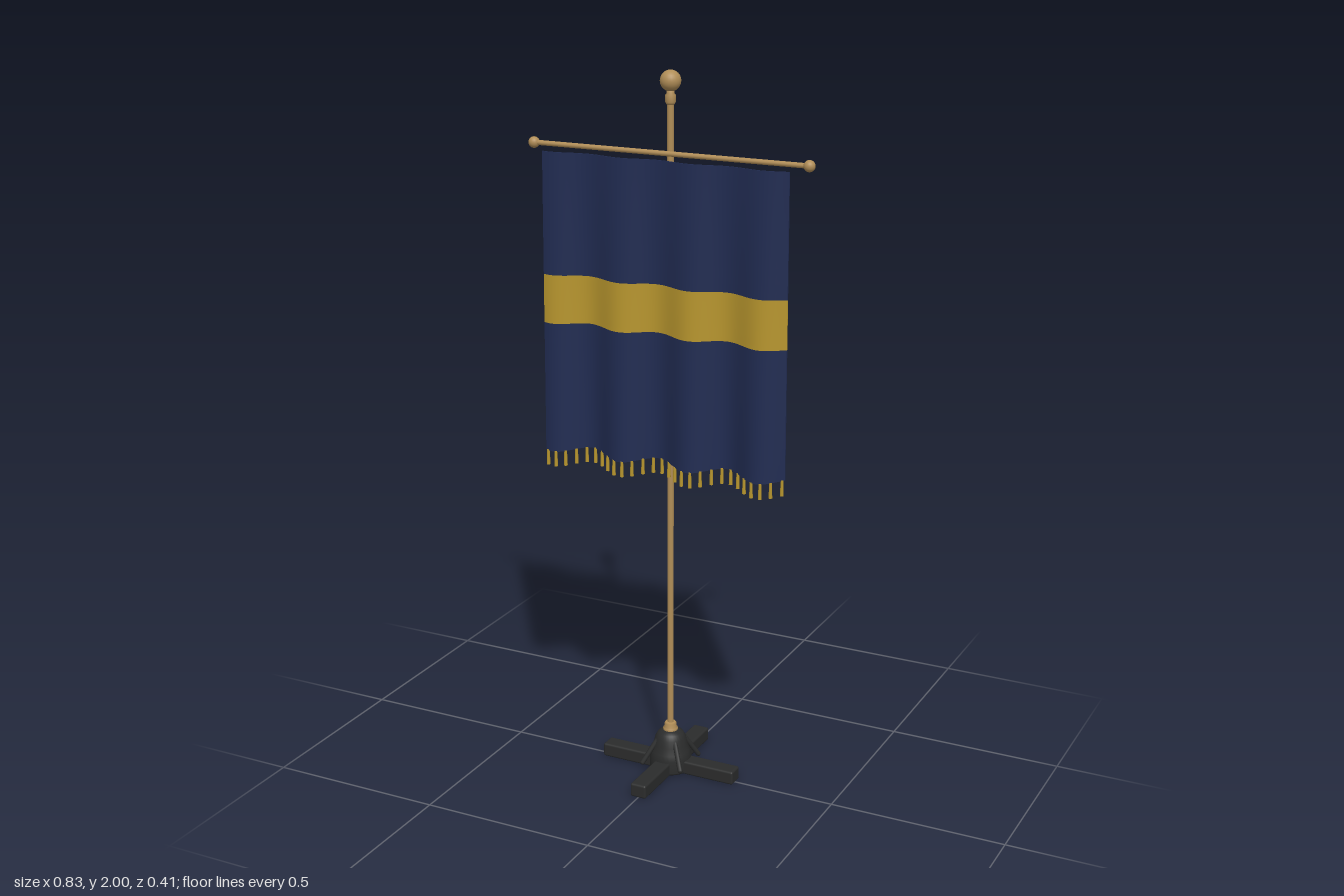
import * as THREE from 'three';
import { RoundedBoxGeometry } from 'three/addons/geometries/RoundedBoxGeometry.js';

const material = (name, color) => {
  const m = new THREE.MeshStandardMaterial({ color });
  m.name = name;
  return m;
};

export function createModel() {
  const brass = material('brass', 0xb08d57);
  const iron = material('black iron', 0x2b2c2c);
  const navy = material('navy cloth', 0x212c52);
  const gold = material('gold cloth', 0xb8962e);

  const model = new THREE.Group();
  model.name = 'bannerStand';

  const add = (name, geometry, mat, x = 0, y = 0, z = 0, parent = model) => {
    const mesh = new THREE.Mesh(geometry, mat);
    mesh.name = name;
    mesh.position.set(x, y, z);
    parent.add(mesh);
    return mesh;
  };
  const lathe = (points, segments = 32) =>
    new THREE.LatheGeometry(points.map(([r, y]) => new THREE.Vector2(r, y)), segments);

  // Base: hub, four feet and four diagonal ribs
  const base = new THREE.Group();
  base.name = 'base';
  model.add(base);
  add('hub', lathe([[0, 0.003], [0.058, 0.003], [0.06, 0.008], [0.06, 0.045], [0.055, 0.06],
    [0.048, 0.08], [0.044, 0.1], [0.036, 0.114], [0.024, 0.122], [0, 0.122]]), iron, 0, 0, 0, base);
  for (let i = 0; i < 4; i++) {
    const arm = new THREE.Group();
    arm.name = 'arm' + (i + 1);
    arm.rotation.y = i * Math.PI / 2;
    base.add(arm);
    add('foot', new RoundedBoxGeometry(0.187, 0.04, 0.048, 2, 0.006), iron, 0.1135, 0.02, 0, arm);

    const ribTurn = new THREE.Group();
    ribTurn.name = 'ribTurn';
    ribTurn.rotation.y = Math.PI / 4;
    arm.add(ribTurn);
    const rib = add('rib', new THREE.CapsuleGeometry(0.007, 0.08, 4, 10), iron, 0.062, 0.062, 0, ribTurn);
    rib.rotation.z = 0.6;
  }

  // Pole with its collars and ball finial
  add('poleSocket', lathe([[0, 0.118], [0.02, 0.118], [0.021, 0.122], [0.021, 0.128], [0.017, 0.131],
    [0.017, 0.142], [0.014, 0.146], [0, 0.146]]), brass);
  add('pole', new THREE.CylinderGeometry(0.009, 0.009, 1.82, 20), brass, 0, 1.02);
  add('finialNeck', lathe([[0, 1.91], [0.01, 1.91], [0.014, 1.917], [0.014, 1.935],
    [0.01, 1.94], [0.01, 1.952], [0, 1.952]], 20), brass);
  add('finialBall', new THREE.SphereGeometry(0.028, 24, 16), brass, 0, 1.972);

  // Crossbar with end knobs
  const barY = 1.785, barZ = 0.019;
  const bar = add('crossbar', new THREE.CylinderGeometry(0.007, 0.007, 0.8, 16), brass, 0, barY, barZ);
  bar.rotation.z = Math.PI / 2;
  for (const side of [-1, 1])
    add(side > 0 ? 'leftKnob' : 'rightKnob', new THREE.SphereGeometry(0.0155, 20, 14), brass, side * 0.4, barY, barZ);

  // Folds in the cloth deepen towards its lower edge
  const top = 1.77, bottom = 0.94, width = 0.712;
  const fold = (x, y) => {
    const t = (top - y) / (top - bottom);
    const wave = Math.cos((x - 0.08) * Math.PI * 2 / 0.205);
    return { y: y - 0.007 * t * t * wave, z: 0.046 + (0.008 + 0.013 * t) * wave };
  };
  const banner = new THREE.Group();
  banner.name = 'banner';
  model.add(banner);
  const panel = (name, y0, y1, mat) => {
    const g = new THREE.BoxGeometry(width, y1 - y0, 0.004, 72, 8, 1);
    g.translate(0, (y0 + y1) / 2, 0);
    const p = g.attributes.position;
    for (let i = 0; i < p.count; i++) {
      const f = fold(p.getX(i), p.getY(i));
      p.setY(i, f.y);
      p.setZ(i, p.getZ(i) + f.z);
    }
    g.computeVertexNormals();
    add(name, g, mat, 0, 0, 0, banner);
  };
  panel('upperCloth', 1.436, top, navy);
  panel('stripe', 1.302, 1.436, gold);
  panel('lowerCloth', bottom, 1.302, navy);

  // Fringe of tassels following the folded hem
  const fringe = new THREE.Group();
  fringe.name = 'fringe';
  banner.add(fringe);
  const count = 28;
  const tassel = new THREE.CylinderGeometry(0.004, 0.0055, 0.044, 8);
  for (let i = 0; i < count; i++) {
    const x = -0.349 + 0.698 * i / (count - 1);
    const f = fold(x, bottom);
    add('tassel', tassel, gold, x, f.y - 0.02, f.z, fringe);
  }
  return model;
}
